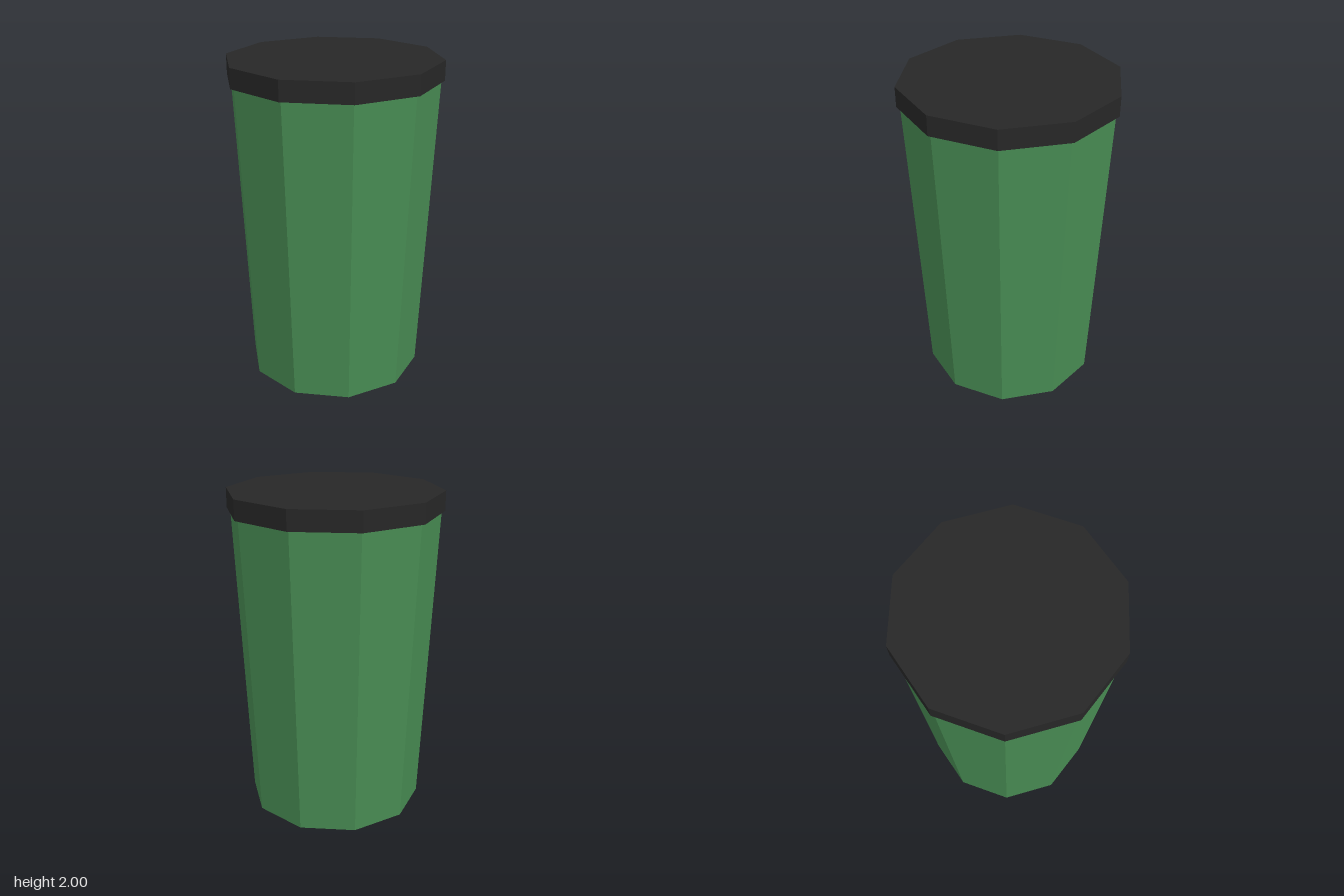
import * as THREE from 'three';

const SIDES = 10;

// Ten-sided tapered prism with a corner pointing along +x
function prism(name, rTop, rBottom, y0, y1, material) {
  const geometry = new THREE.CylinderGeometry(
    rTop, rBottom, y1 - y0, SIDES, 1, false, Math.PI / 2
  ).toNonIndexed();
  geometry.computeVertexNormals(); // flat facets
  geometry.translate(0, (y0 + y1) / 2, 0);
  const mesh = new THREE.Mesh(geometry, material);
  mesh.name = name;
  return mesh;
}

export function createModel() {
  const green = new THREE.MeshStandardMaterial({ color: 0x488c53 });
  green.name = 'green';
  const black = new THREE.MeshStandardMaterial({ color: 0x272727 });
  black.name = 'black';

  const group = new THREE.Group();
  group.name = 'bin';
  group.add(
    // tapered container
    prism('body', 0.63, 0.547, 0, 1.88, green),
    // overhanging flat lid
    prism('lid', 0.65, 0.65, 1.88, 2, black)
  );
  return group;
}
